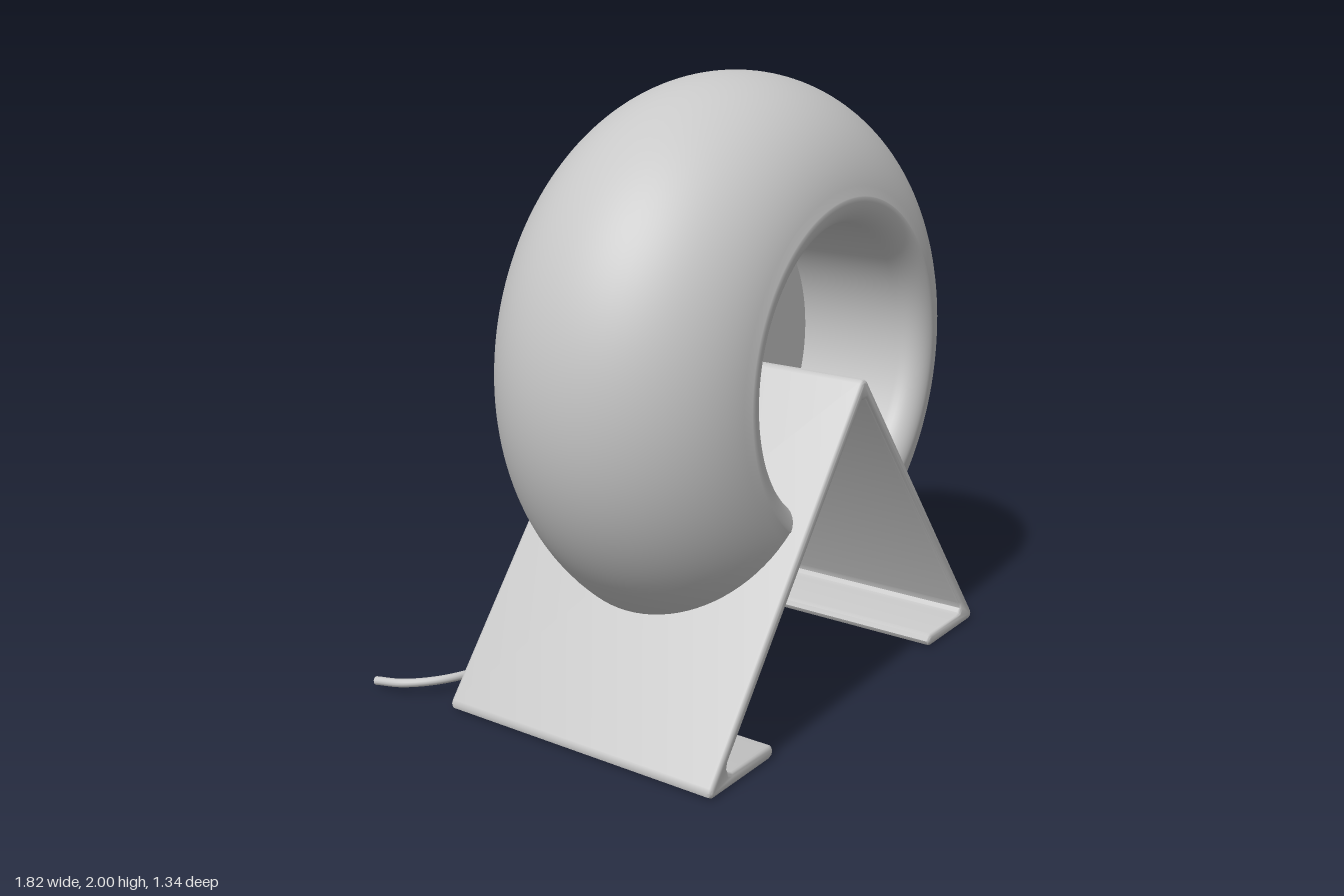
import * as THREE from 'three';
import { toCreasedNormals } from 'three/addons/utils/BufferGeometryUtils.js';

const CENTRE_Y = 1.09, CENTRE_Z = 0.157;
const CUT = THREE.MathUtils.degToRad(38);   // half angle of the stand's wedge
const SWEEP = 2 * Math.PI - 2 * CUT;

export function createModel() {
  const model = new THREE.Group();
  const grey = new THREE.MeshStandardMaterial({ color: 0xc8c8c8 });
  grey.name = 'grey';
  const greyThin = grey;
  greyThin.side = THREE.DoubleSide;

  const add = (name, geometry) => {
    const mesh = new THREE.Mesh(geometry, grey);
    mesh.name = name;
    model.add(mesh);
    return mesh;
  };

  // Ring: round outside, straight bore, rounded lips
  const profile = [];
  const arc = (cx, cy, r, from, to, n) => {
    for (let i = 0; i <= n; i++) {
      const a = THREE.MathUtils.degToRad(from + (to - from) * i / n);
      profile.push(new THREE.Vector2(cx + r * Math.cos(a), cy + r * Math.sin(a)));
    }
  };
  profile.push(new THREE.Vector2(0.46, 0));
  arc(0.545, -0.373, 0.085, 180, 270, 10);
  arc(0.443, 0, 0.467, -77, 77, 40);
  arc(0.545, 0.373, 0.085, 90, 180, 10);
  profile.push(new THREE.Vector2(0.46, 0));
  const ring = new THREE.LatheGeometry(profile, 120, CUT, SWEEP);
  ring.rotateX(Math.PI / 2);
  add('ring', ring).position.set(0, CENTRE_Y, CENTRE_Z);

  // Disc across the middle of the bore
  const disc = new THREE.CylinderGeometry(0.462, 0.462, 0.01, 96, 1, false, CUT, SWEEP);
  disc.rotateX(Math.PI / 2);
  add('centreDisc', disc).position.set(0, CENTRE_Y, CENTRE_Z);

  // Folded stand: right half of the outline, mirrored to the left
  const half = [
    [0.008, 1.074], [0.02, 1.065], [0.825, 0.035], [0.831, 0.022], [0.828, 0.008], [0.815, 0],
    [0.517, 0], [0.502, 0.007], [0.495, 0.022], [0.502, 0.038], [0.517, 0.045],
    [0.715, 0.045], [0.733, 0.05], [0.742, 0.065], [0.737, 0.085], [0.012, 1.007],
  ];
  const outline = [
    ...half,
    ...half.slice().reverse().map(([x, y]) => [-x, y]),
  ].map(([x, y]) => new THREE.Vector2(x, y));
  const bevel = 0.014, depth = 1.02;
  const stand = new THREE.ExtrudeGeometry(new THREE.Shape(outline), {
    depth: depth - 2 * bevel, bevelThickness: bevel, bevelSize: bevel,
    bevelOffset: -bevel, bevelSegments: 4,
  });
  stand.translate(0, 0, CENTRE_Z - depth / 2 + bevel);
  add('stand', toCreasedNormals(stand, 0.7));

  // Plug on the inside of the right-hand panel
  const out = new THREE.Vector3(0.788, -0.616, 0);
  const plug = add('plug', new THREE.CylinderGeometry(0.036, 0.036, 0.11, 32));
  plug.position.set(-0.36, 0.404, CENTRE_Z).addScaledVector(out, -0.055);
  plug.quaternion.setFromUnitVectors(new THREE.Vector3(0, 1, 0), out);

  // Cable trailing out of the back
  const path = new THREE.CatmullRomCurve3([
    [-0.37, 0.41, 0.157], [-0.28, 0.345, 0.14], [-0.1, 0.22, 0.02], [-0.01, 0.13, -0.18],
    [0.01, 0.08, -0.34], [-0.04, 0.05, -0.43], [-0.15, 0.036, -0.46], [-0.36, 0.036, -0.43],
    [-0.6, 0.043, -0.41], [-0.75, 0.045, -0.46], [-0.83, 0.035, -0.56], [-0.85, 0.022, -0.67],
  ].map(p => new THREE.Vector3(...p)));
  add('cable', new THREE.TubeGeometry(path, 120, 0.014, 12));

  // Flat end of the cable
  const end = add('cableEnd', new THREE.CircleGeometry(0.014, 12));
  end.position.copy(path.getPoint(1));
  end.quaternion.setFromUnitVectors(new THREE.Vector3(0, 0, 1), path.getTangent(1));

  return model;
}
